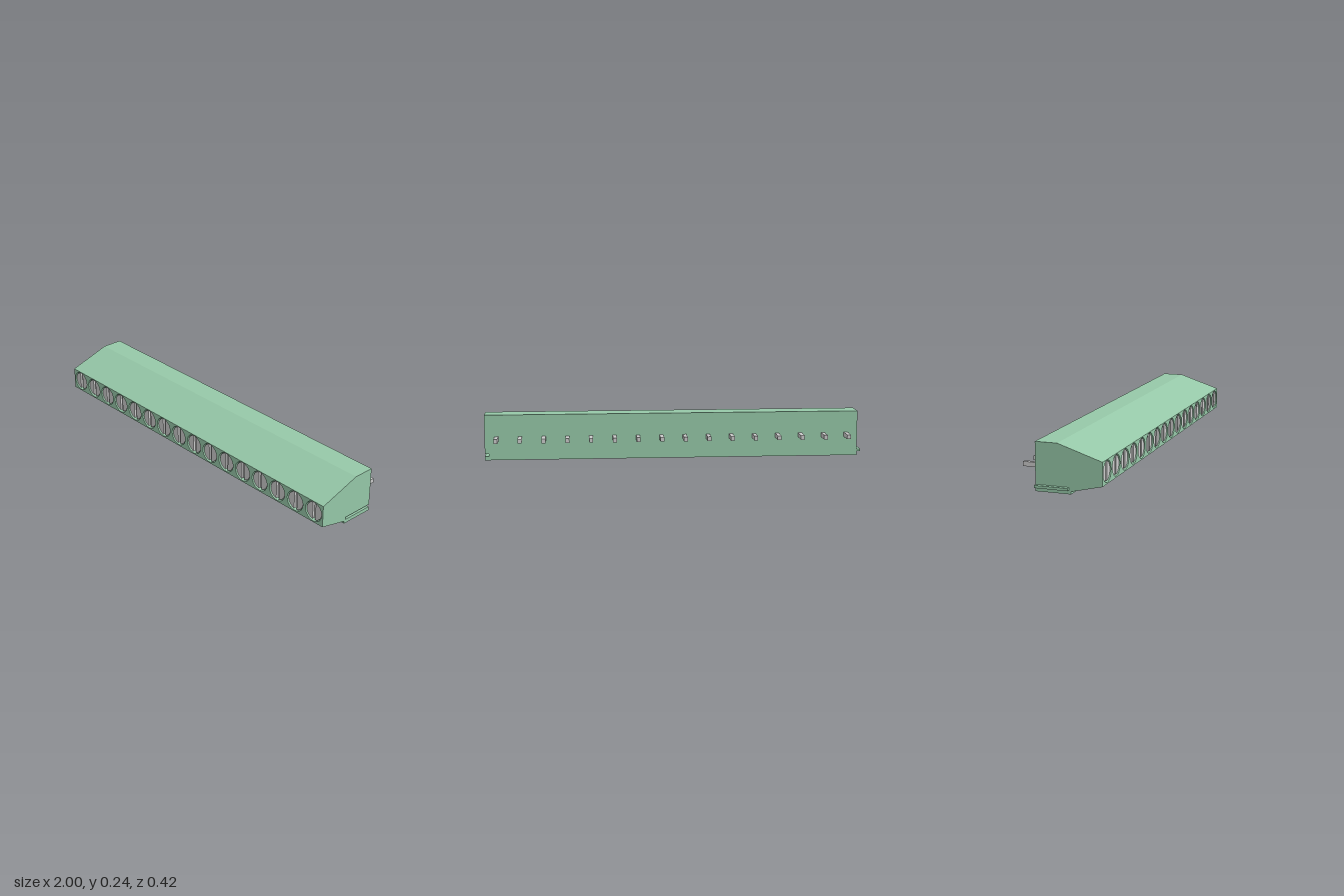
import * as THREE from 'three';

const COUNT = 16, X0 = -0.98, X1 = 1, PITCH = (X1 - X0) / COUNT;
const GROOVE_X = 0.98;          // inner wall of the end groove
const FRONT = 0.212, BACK = -0.125;
const SCREW_Y = 0.11, HOLE_R = 0.053, SCREW_R = 0.048, RECESS = 0.022;
const WIRE_Z = -0.035, WIRE_HALF = 0.045, WIRE_DEPTH = 0.06;

const green = new THREE.MeshStandardMaterial({ color: 0x96c8a8, side: THREE.DoubleSide, flatShading: true });
const greenSmooth = new THREE.MeshStandardMaterial({ color: 0x96c8a8, side: THREE.DoubleSide });
const grey = new THREE.MeshStandardMaterial({ color: 0xcccccc });

// Cross-section points are [z, y]
const profile = [[0.055, 0], [0.055, 0.013], [FRONT, 0.05], [FRONT, 0.167], [-0.013, 0.24], [BACK, 0.24], [BACK, 0]].reverse();
const groove = [[BACK, 0.02], [0.045, 0.02], [0.045, 0.033], [BACK, 0.033]];
const groovedProfile = [profile[0], ...groove, ...profile.slice(1)];

function add(parent, name, geometry, material, x = 0, y = 0, z = 0) {
  const mesh = new THREE.Mesh(geometry, material);
  mesh.name = name;
  mesh.position.set(x, y, z);
  parent.add(mesh);
  return mesh;
}

// Walls along x for every profile edge except the pierced front and the bottom
function skin(points, x0, x1) {
  const pos = [];
  for (let i = 0; i < points.length - 1; i++) {
    const [z, y] = points[i], [w, v] = points[i + 1];
    if (z === FRONT && w === FRONT) continue;
    pos.push(x0, y, z, x0, v, w, x1, y, z, x1, y, z, x0, v, w, x1, v, w);
  }
  const g = new THREE.BufferGeometry();
  g.setAttribute('position', new THREE.Float32BufferAttribute(pos, 3));
  g.computeVertexNormals();
  return g;
}

// Flat cross-section facing +x (side 1) or -x (side -1)
function section(points, side) {
  const shape = new THREE.Shape(points.map(([z, y]) => new THREE.Vector2(-side * z, y)));
  return new THREE.ShapeGeometry(shape).rotateY(side * Math.PI / 2);
}

function rect(Kind, x0, y0, x1, y1) {
  return new Kind([[x0, y0], [x1, y0], [x1, y1], [x0, y1]].map(p => new THREE.Vector2(...p)));
}

// One half of a slotted screw head
function screwHalf() {
  const t = Math.acos(0.009 / SCREW_R);
  const shape = new THREE.Shape();
  shape.absarc(0, 0, SCREW_R, -t, t, false);
  shape.closePath();
  return new THREE.ExtrudeGeometry(shape, { depth: 0.014, bevelEnabled: false, curveSegments: 20 });
}

export function createModel() {
  const model = new THREE.Group();
  model.name = 'terminalBlock';
  const housing = new THREE.Group();
  housing.name = 'housing';
  model.add(housing);

  // Outer walls, with the groove cut into the +x end
  add(housing, 'housingWalls', skin(profile, X0, GROOVE_X), green);
  add(housing, 'groovedWalls', skin(groovedProfile, GROOVE_X, X1), green);
  add(housing, 'leftEnd', section(groovedProfile, 1), green, X1);
  add(housing, 'grooveFloor', section(groove, 1), green, GROOVE_X);
  add(housing, 'rightEnd', section(profile, -1), green, X0);

  // Interlocking rail on the -x end
  add(housing, 'endRail', new THREE.BoxGeometry(0.02, 0.013, 0.17), green, -0.99, 0.0265, -0.04);

  const frontFace = rect(THREE.Shape, X0, 0.05, X1, 0.167);
  const bottomFace = rect(THREE.Shape, X0, BACK, X1, 0.055);

  const holeWall = new THREE.CylinderGeometry(HOLE_R, HOLE_R, RECESS, 40, 1, true).rotateX(Math.PI / 2);
  const holeFloor = new THREE.CircleGeometry(HOLE_R, 40);
  const funnel = new THREE.ConeGeometry(WIRE_HALF * Math.SQRT2, WIRE_DEPTH, 4, 1, true).rotateY(Math.PI / 4);
  const half = screwHalf();
  const screwBase = new THREE.CylinderGeometry(SCREW_R, SCREW_R, 0.005, 40).rotateX(Math.PI / 2);
  const pin = new THREE.BoxGeometry(0.02, 0.023, 0.096);

  for (let i = 0; i < COUNT; i++) {
    const x = X0 + (i + 0.5) * PITCH;

    // Openings: round screw recess in front, tapered wire entry below
    const circle = new THREE.Path();
    circle.absarc(x, SCREW_Y, HOLE_R, 0, Math.PI * 2, true);
    frontFace.holes.push(circle);
    bottomFace.holes.push(rect(THREE.Path, x - WIRE_HALF, WIRE_Z - WIRE_HALF, x + WIRE_HALF, WIRE_Z + WIRE_HALF));
    add(housing, 'screwRecess', holeWall, greenSmooth, x, SCREW_Y, FRONT - RECESS / 2);
    add(housing, 'recessFloor', holeFloor, green, x, SCREW_Y, FRONT - RECESS);
    add(housing, 'wireEntry', funnel, green, x, WIRE_DEPTH / 2, WIRE_Z);

    // Slotted screw
    const screw = new THREE.Group();
    screw.name = 'screw';
    screw.position.set(x, SCREW_Y, FRONT - RECESS);
    add(screw, 'screwBase', screwBase, grey, 0, 0, 0.0025);
    add(screw, 'screwHalfLeft', half, grey, 0, 0, 0.003);
    add(screw, 'screwHalfRight', half, grey, 0, 0, 0.003).rotation.z = Math.PI;
    model.add(screw);

    // Contact pin at the back
    add(model, 'pin', pin, grey, x, 0.1135, -0.163);
  }

  add(housing, 'frontFace', new THREE.ShapeGeometry(frontFace, 20), green, 0, 0, FRONT);
  add(housing, 'bottomFace', new THREE.ShapeGeometry(bottomFace).rotateX(Math.PI / 2), green);
  return model;
}
